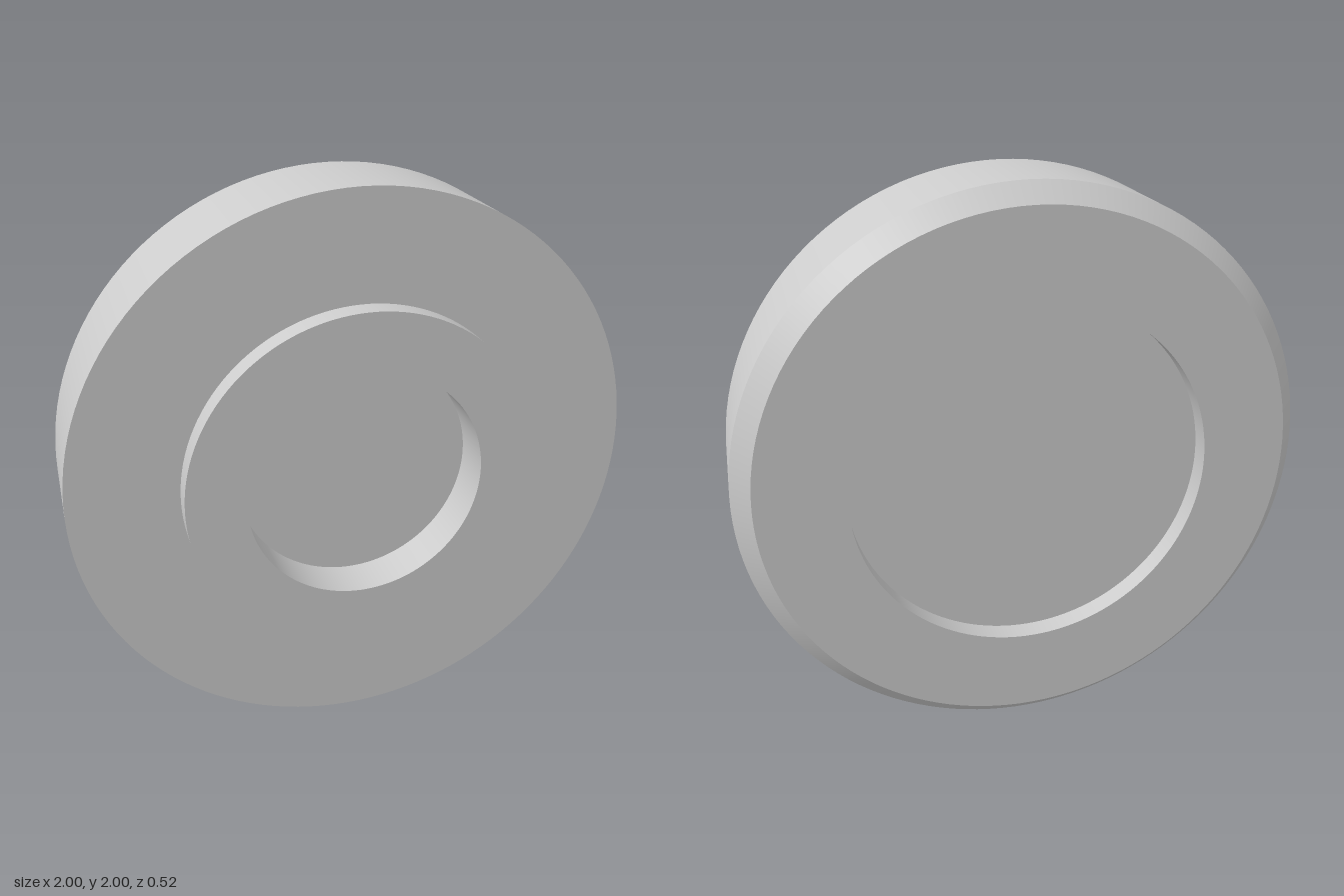
import * as THREE from 'three';
import { mergeGeometries } from 'three/addons/utils/BufferGeometryUtils.js';

const SEGMENTS = 128;

// Revolve each profile edge separately so that corners stay crisp.
function revolve(profile) {
  const bands = [];
  for (let i = 0; i < profile.length - 1; i++) {
    const edge = [profile[i], profile[i + 1]].map(([r, z]) => new THREE.Vector2(r, z));
    bands.push(new THREE.LatheGeometry(edge, SEGMENTS));
  }
  return mergeGeometries(bands).rotateX(Math.PI / 2);
}

export function createModel() {
  const group = new THREE.Group();
  group.name = 'recessedDisc';
  const material = new THREE.MeshStandardMaterial({ color: 0xcccccc });

  const addPart = (name, profile) => {
    const mesh = new THREE.Mesh(revolve(profile), material);
    mesh.name = name;
    mesh.position.y = 1;
    group.add(mesh);
  };

  // Disc: shallow rear recess, chamfered rear rim, plain front face
  addPart('disc', [
    [0, -0.185], [0.63, -0.185], [0.63, -0.26], [0.935, -0.26],
    [1, -0.195], [1, 0.18], [0.625, 0.18],
  ]);

  // Raised front ring around a deeper round pocket
  addPart('frontBoss', [
    [0.625, 0.18], [0.625, 0.26], [0.42, 0.26], [0.42, 0.1], [0, 0.1],
  ]);

  return group;
}
